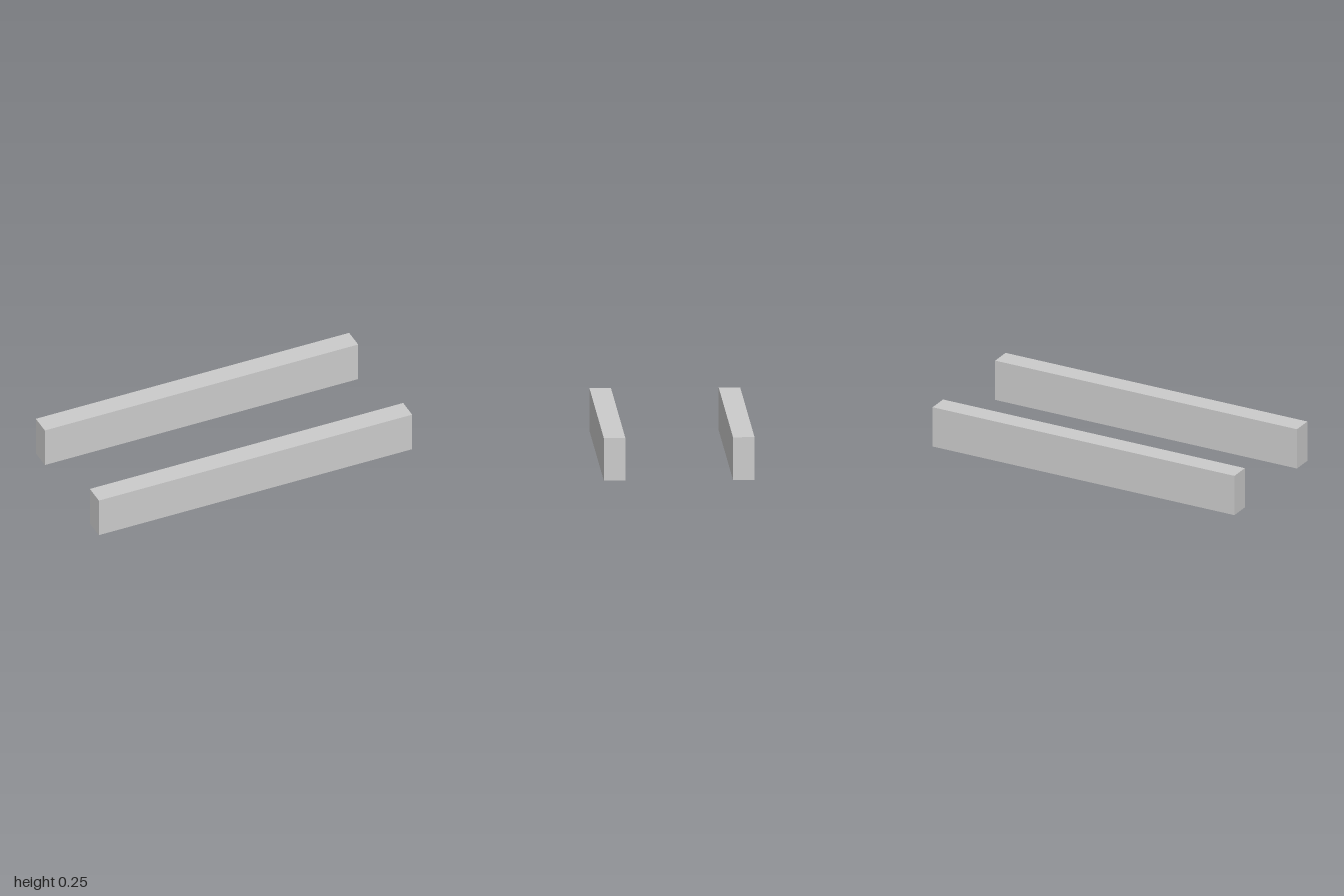
import * as THREE from 'three';

const LENGTH = 2, HEIGHT = 0.25, DEPTH = 0.125, OFFSET = 0.375;

// Box shell with its underside left open
function openBottomBox(w, h, d) {
  const geometry = new THREE.BoxGeometry(w, h, d);
  const index = Array.from(geometry.index.array);
  index.splice(18, 6); // the fourth side of a box is its bottom
  geometry.setIndex(index);
  geometry.clearGroups();
  geometry.translate(0, h / 2, 0);
  return geometry;
}

export function createModel() {
  const model = new THREE.Group();
  model.name = 'parallelBeams';
  const material = new THREE.MeshStandardMaterial({ color: 0xcccccc, side: THREE.DoubleSide });
  const geometry = openBottomBox(LENGTH, HEIGHT, DEPTH);

  // Two matching beams, front and back
  for (const [name, side] of [['frontBeam', 1], ['backBeam', -1]]) {
    const beam = new THREE.Mesh(geometry, material);
    beam.name = name;
    beam.position.z = side * OFFSET;
    model.add(beam);
  }
  return model;
}
